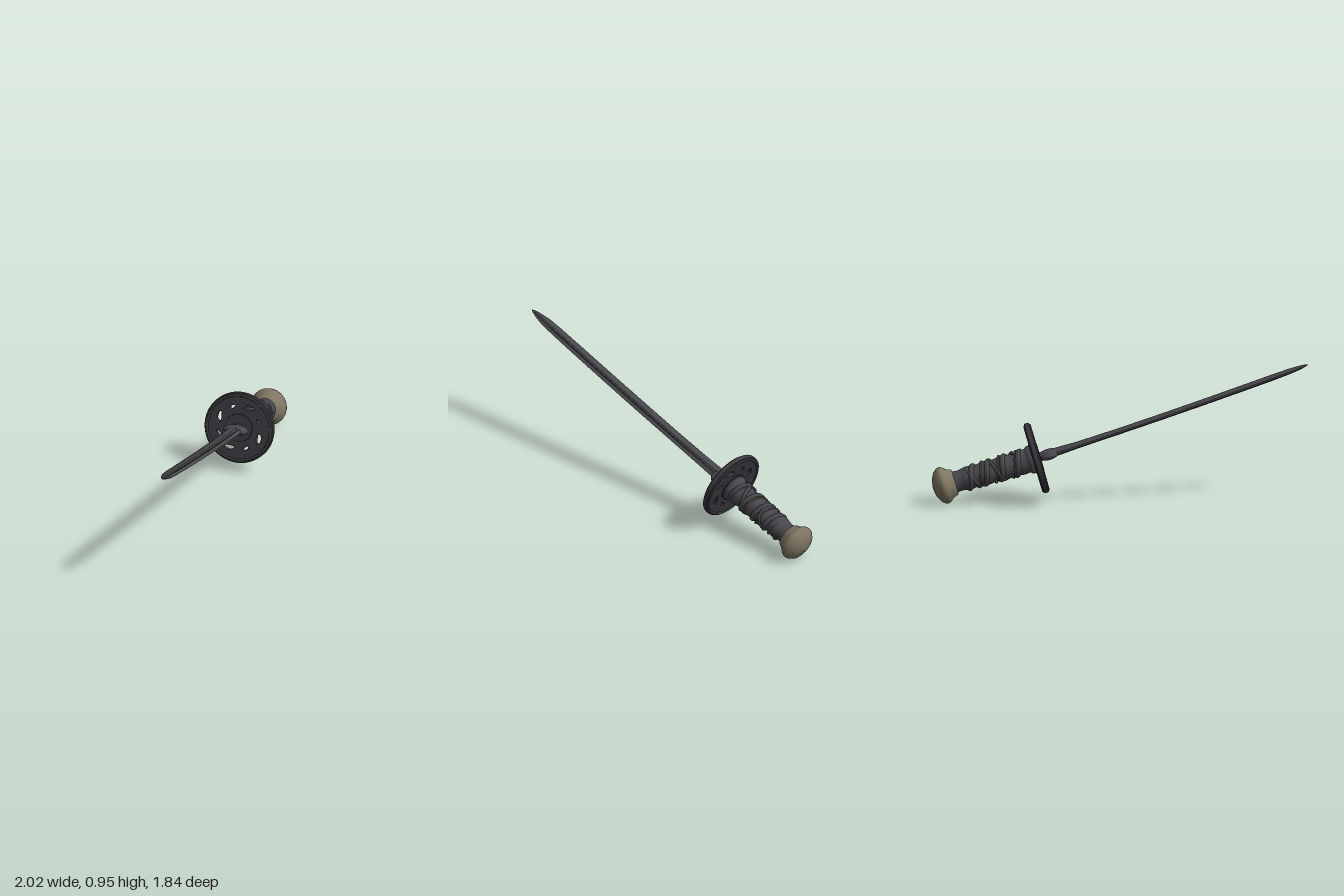
import * as THREE from 'three';

const mat = (name, color, side = THREE.FrontSide) => {
  const m = new THREE.MeshStandardMaterial({ color, side });
  m.name = name;
  return m;
};

export function createModel() {
  const steel = mat('dark steel', 0x47464a);
  steel.flatShading = true;
  const groove = mat('groove black', 0x2c2b2e, THREE.DoubleSide);
  const iron = mat('guard iron', 0x39383d);
  const leather = mat('grip leather', 0x48474d);
  const tan = mat('tan cord', 0x6f6754);
  const bone = mat('pommel bone', 0x7f7663);

  // Local frame: origin at the guard, +y to the pommel, x across the blade, z out of its flat.
  const sword = new THREE.Group();
  sword.name = 'sword';
  const add = (name, geometry, material, y = 0) => {
    const mesh = new THREE.Mesh(geometry, material);
    mesh.name = name;
    mesh.position.y = y;
    sword.add(mesh);
    return mesh;
  };
  const lathe = (pts, segments) =>
    new THREE.LatheGeometry(pts.map(([r, y]) => new THREE.Vector2(r, y)), segments);

  // Blade: a lens-like section with a shallow fuller, swept along a slight bow
  const section = [[1, 0], [0.6, 0.75], [0.4, 0.55], [0.2, 1], [-0.5, 0.85], [-1, 0.25],
    [-1, -0.25], [-0.5, -0.85], [0.2, -1], [0.4, -0.55], [0.6, -0.75]];
  const centre = (s) => [0.059 * s, -2.02 * s, 0.08 * Math.pow(s, 1.5)];
  const stations = [[0, 0.058, 0.032], [0.08, 0.056, 0.028], [0.15, 0.053, 0.022], [0.3, 0.051, 0.02],
    [0.45, 0.051, 0.02], [0.6, 0.05, 0.02], [0.75, 0.049, 0.02], [0.87, 0.047, 0.02],
    [0.93, 0.042, 0.018], [0.965, 0.029, 0.014], [0.988, 0.014, 0.009], [1, 0.001, 0.001]];
  const pos = [], index = [], n = section.length;
  stations.forEach(([s, w, t], i) => {
    const [cx, cy, cz] = centre(s);
    for (const [px, pz] of section) pos.push(cx + px * w, cy, cz + pz * t);
    if (i === 0) return;
    for (let j = 0; j < n; j++) {
      const a = (i - 1) * n + j, b = (i - 1) * n + (j + 1) % n;
      index.push(a, b, b + n, a, b + n, a + n);
    }
  });
  const blade = new THREE.BufferGeometry();
  blade.setAttribute('position', new THREE.Float32BufferAttribute(pos, 3));
  blade.setIndex(index);
  blade.computeVertexNormals();
  add('blade', blade, steel);

  // Dark line in the fuller on both flats
  for (const side of [1, -1]) {
    const line = new THREE.CatmullRomCurve3([0.12, 0.3, 0.5, 0.7, 0.9].map((s) => {
      const [x, y, z] = centre(s);
      return new THREE.Vector3(x + 0.02, y, z + side * 0.0115);
    }));
    add('fullerLine', new THREE.TubeGeometry(line, 24, 0.004, 5), groove);
  }

  // Flattened collar at the blade root
  const collar = add('bladeCollar', new THREE.SphereGeometry(1, 20, 12), leather, -0.09);
  collar.scale.set(0.09, 0.075, 0.036);

  // Pierced round guard
  const disc = new THREE.Shape().absarc(0, 0, 0.247, 0, Math.PI * 2);
  for (let i = 0; i < 8; i++) {
    const a = (i + 0.5) * Math.PI / 4, half = i % 2 ? 0.2 : 0.28, outer = i % 2 ? 0.175 : 0.19;
    const hole = new THREE.Path();
    const at = (r, t) => [r * Math.cos(t), r * Math.sin(t)];
    hole.moveTo(...at(0.135, a - half));
    hole.quadraticCurveTo(...at(outer + 0.01, a - half), ...at(outer, a + half * 0.6));
    hole.lineTo(...at(outer - 0.015, a + half));
    hole.quadraticCurveTo(...at(0.14, a + half * 0.5), ...at(0.135, a - half));
    disc.holes.push(hole);
  }
  const guard = new THREE.ExtrudeGeometry(disc, {
    depth: 0.022, bevelThickness: 0.008, bevelSize: 0.008, bevelSegments: 2, curveSegments: 40,
  });
  guard.translate(0, 0, -0.011).rotateX(-Math.PI / 2);
  add('guard', guard, iron);
  add('guardBoss', new THREE.CylinderGeometry(0.11, 0.1, 0.06, 28), iron);

  // Raised beads on the guard rim
  for (const side of [1, -1]) {
    const bead = add('guardRim', new THREE.TorusGeometry(0.235, 0.01, 6, 48), iron, side * 0.018);
    bead.rotation.x = Math.PI / 2;
  }

  // Grip core with soft swellings
  const core = [[0, 0.02], [0.1, 0.02], [0.1, 0.05], [0.088, 0.065]];
  for (let i = 0; i <= 24; i++) {
    const t = i / 24;
    core.push([0.085 - 0.008 * t + 0.005 * Math.sin(t * 26), 0.075 + 0.54 * t]);
  }
  add('grip', lathe(core, 28), leather);

  // Spiral wraps and thin cord around the grip
  const helix = (r, turns, phase, y0, y1, dir = 1) => {
    const pts = [];
    for (let i = 0; i <= turns * 12; i++) {
      const t = i / (turns * 12), a = phase + dir * t * turns * Math.PI * 2;
      const rr = r - 0.008 * t;
      pts.push(new THREE.Vector3(rr * Math.cos(a), y0 + (y1 - y0) * t, rr * Math.sin(a)));
    }
    return new THREE.CatmullRomCurve3(pts);
  };
  add('gripWrap', new THREE.TubeGeometry(helix(0.08, 4, 0, 0.08, 0.54), 120, 0.02, 8), leather);
  add('crossWrap', new THREE.TubeGeometry(helix(0.083, 2, 2, 0.14, 0.5, -1), 70, 0.014, 7), leather);
  add('gripCord', new THREE.TubeGeometry(helix(0.093, 3, 1, 0.12, 0.5), 100, 0.006, 5), tan);

  // Mushroom pommel
  add('pommel', lathe([[0.07, 0.595], [0.092, 0.6], [0.104, 0.635], [0.125, 0.658], [0.133, 0.678],
    [0.129, 0.7], [0.105, 0.728], [0.06, 0.75], [0, 0.76]], 20), bone);

  // Tilt the whole sword into its resting pose
  const along = new THREE.Vector3(0.729, -0.277, -0.627).normalize();
  const across = new THREE.Vector3(0.652, 0, 0.758).normalize();
  const flat = new THREE.Vector3().crossVectors(across, along);
  sword.quaternion.setFromRotationMatrix(new THREE.Matrix4().makeBasis(across, along, flat));
  sword.position.set(0.415, 0.32, -0.385);

  const model = new THREE.Group();
  model.name = 'model';
  model.add(sword);
  return model;
}
